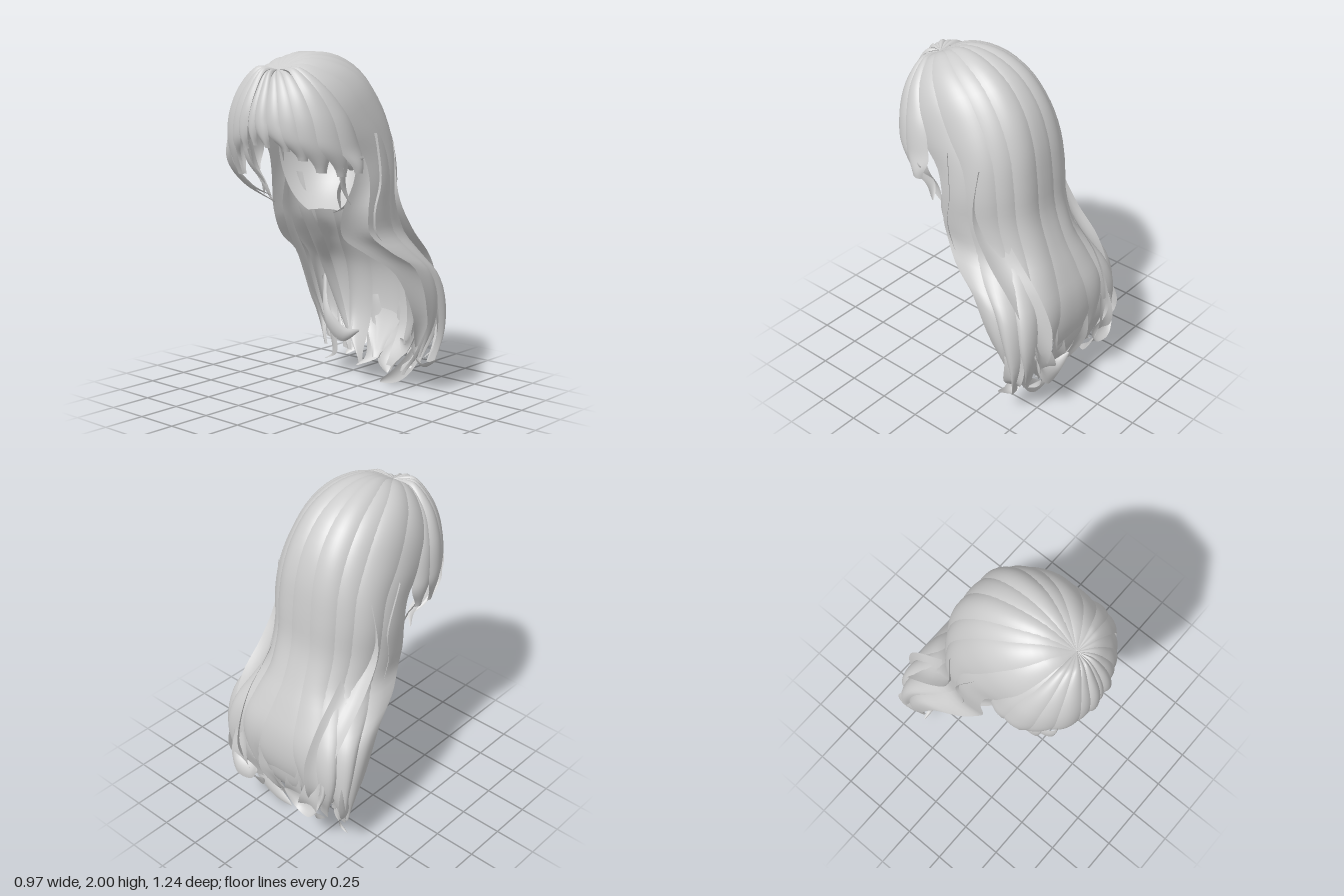
import * as THREE from 'three';

const hair = new THREE.MeshStandardMaterial({ color: 0xcccccc, side: THREE.DoubleSide });
hair.name = 'hairGrey';

let seed = 7;
const rand = (a, b) => {
  seed = (seed * 16807) % 2147483647;
  return a + (b - a) * (seed / 2147483647);
};
const V = (x, y, z) => new THREE.Vector3(x, y, z);
const spow = (n, e) => Math.sign(n) * Math.pow(Math.abs(n), e);
const smooth = THREE.MathUtils.smoothstep;

// Smooth surface from a rule f(u, v) with u in -1..1 and v in 0..1
function sheet(name, nu, nv, f) {
  const pos = [], idx = [];
  for (let j = 0; j <= nv; j++)
    for (let i = 0; i <= nu; i++) pos.push(...f((i / nu) * 2 - 1, j / nv).toArray());
  for (let j = 0; j < nv; j++)
    for (let i = 0; i < nu; i++) {
      const a = j * (nu + 1) + i, b = a + nu + 1;
      idx.push(a, b, a + 1, a + 1, b, b + 1);
    }
  const g = new THREE.BufferGeometry();
  g.setAttribute('position', new THREE.Float32BufferAttribute(pos, 3));
  g.setIndex(idx);
  g.computeVertexNormals();
  const m = new THREE.Mesh(g, hair);
  m.name = name;
  return m;
}

// Rows of [middle y, middle z, half width, side y, side z], from the parting down
const backRows = [
  [1.905, .42, 0, 1.905, .42], [1.985, .25, .13, 1.91, .40], [1.98, .08, .245, 1.83, .36],
  [1.90, -.10, .32, 1.72, .30], [1.76, -.225, .355, 1.58, .22], [1.58, -.295, .37, 1.44, .10],
  [1.38, -.325, .38, 1.28, .06], [1.17, -.345, .37, 1.12, .06], [.98, -.41, .365, 1.0, .03],
  [.83, -.48, .42, .89, -.08], [.68, -.54, .465, .78, -.23], [.52, -.56, .475, .62, -.31],
  [.36, -.545, .45, .42, -.35], [.2, -.48, .39, .22, -.36], [.05, -.42, .34, .06, -.38],
];
const fringeRows = [
  [1.905, .42, 0, 1.905, .42], [1.89, .50, .13, 1.89, .40], [1.79, .565, .25, 1.80, .36],
  [1.67, .605, .33, 1.66, .30], [1.55, .61, .365, 1.52, .26], [1.45, .585, .375, 1.42, .23],
  [1.32, .54, .36, 1.30, .22],
];
const shell = (rows) => ({
  mid: new THREE.CatmullRomCurve3(rows.map((r) => V(0, r[0], r[1]))),
  side: new THREE.CatmullRomCurve3(rows.map((r) => V(r[2], r[3], r[4]))),
});
const backShell = shell(backRows), fringeShell = shell(fringeRows);

// Point on a shell at an angle from its middle, lifted outward by off
function onShell(sh, phi, t, off, square) {
  const m = sh.mid.getPoint(t), s = sh.side.getPoint(t);
  const e = 1 - square * t;
  const c = spow(Math.cos(phi), e), k = spow(Math.sin(phi), e);
  const p = V(s.x * k, s.y + (m.y - s.y) * c, s.z + (m.z - s.z) * c);
  const out = p.clone().sub(V(0, Math.min(p.y, 1.5), s.z));
  return p.addScaledVector(out.normalize(), off);
}

// A lock following a shell, bulged across its width and tapered to a curled tip
function lock(name, sh, o) {
  return sheet(name, 10, 44, (u, v) => {
    const t = o.start + (o.end - o.start) * v;
    const tip = smooth(v, o.taper, 1);
    const w = o.half * (1.2 - (1.2 - o.point) * tip * tip);
    const phi = o.phi + u * w + o.drift * Math.sin(v * 7 + o.phase) * smooth(v, .2, 1) + o.sweep * tip;
    const off = (o.lift + o.bulge * (.7 - u * u)) * Math.min(1, t * 6)
      + o.lobe * smooth(t, .55, .8) * (1 - u * u) + o.curl * tip * tip;
    return onShell(sh, phi, t, off, o.square);
  });
}

// A free ribbon along a few points, widest in its middle
function ribbon(name, pts, width, across, bend = .3) {
  const c = new THREE.CatmullRomCurve3(pts.map((p) => V(...p)));
  const a = V(...across).normalize();
  return sheet(name, 6, 32, (u, v) => {
    const w = width * Math.pow(Math.sin(Math.PI * (.12 + .87 * v)), .7);
    const n = c.getTangent(v).cross(a).normalize();
    return c.getPoint(v).addScaledVector(a, u * w).addScaledVector(n, (1 - u * u) * w * bend);
  });
}

export function createModel() {
  const model = new THREE.Group();
  model.name = 'longHair';
  const group = (name) => {
    const g = new THREE.Group();
    g.name = name;
    model.add(g);
    return g;
  };

  // Inner cap behind the face opening
  const cap = new THREE.Mesh(new THREE.SphereGeometry(1, 32, 24, Math.PI, Math.PI, 0, 2.85), hair);
  cap.geometry.scale(.33, .42, .34);
  cap.geometry.translate(0, 1.5, .08);
  cap.name = 'innerCap';
  model.add(cap);

  // Broad outer locks, from the parting over the crown and down the back:
  // [angle, half angle, end, lobe, drift, curl]
  const back = group('backHair');
  const backLocks = [
    [-1.38, .2, .95, 0, 0, .02], [-1.02, .21, .93, .03, .03, .03], [-.66, .2, .95, .05, .05, -.05],
    [-.33, .18, .87, 0, .05, -.03], [0, .18, .93, -.01, .06, -.05], [.34, .18, .88, 0, .05, -.04],
    [.68, .2, .95, .05, .05, -.03], [1.03, .21, .94, .03, .03, .03], [1.38, .2, .93, 0, 0, -.04],
  ];
  backLocks.forEach(([phi, half, end, lobe, drift, curl], i) => back.add(lock('backLock', backShell, {
    phi, half, start: 0, end, taper: .78, point: .25, drift, phase: phi * 3, lift: (i % 2) * .008,
    bulge: .016, lobe, curl, sweep: 0, square: .35,
  })));

  // Under layer that closes the gaps and hangs inside the curve
  const under = group('underHair');
  for (let k = -3; k <= 3; k++) {
    under.add(lock('underLock', backShell, {
      phi: k * .42, half: .2, start: .42, end: rand(.93, 1), taper: .8, point: .3, drift: .05,
      phase: k * 2, lift: k % 2 ? -.05 : -.03, bulge: .025, lobe: 0, curl: rand(-.08, -.02), sweep: 0, square: .35,
    }));
  }

  // Fringe locks fanning from the parting: [angle, half angle, end, lift, sweep]
  const fringe = group('fringe');
  const fringeLocks = [
    [-1.55, .2, .97, .005, 0], [-1.25, .2, 1, .014, .05], [-.95, .2, 1, .02, -.1], [-.66, .17, .98, .016, .08],
    [-.42, .13, .88, .012, -.06], [-.2, .1, .77, .004, .03], [-.03, .08, .74, -.005, 0], [.14, .1, .75, -.01, .05],
    [.36, .14, .78, -.02, .12], [.62, .18, .85, -.025, .12], [.93, .2, .93, -.01, .1], [1.25, .2, .95, .005, .1],
    [1.55, .2, .92, .02, 0],
  ];
  fringeLocks.forEach(([phi, half, end, lift, sweep], i) => fringe.add(lock('fringeLock', fringeShell, {
    phi, half, start: 0, end, taper: .7, point: .45, drift: .02, phase: i, lift: lift + (i % 2) * .008,
    bulge: .016, lobe: 0, curl: phi > 1.4 ? .03 : -.01, sweep, square: 0,
  })));

  // Locks framing the neck, tucked inward, further forward on the left
  const sides = group('sideLocks');
  for (const s of [-1, 1]) {
    const f = s > 0 ? 0 : -.09;
    sides.add(ribbon('frontSideLock', [[s * .35, 1.56, .08], [s * .35, 1.3, .08 + f], [s * .325, 1.12, .125 + f], [s * .315, .99, .1 + f], [s * .36, .88, -.04 + f / 2], [s * .41, .75, -.21], [s * .42, .5, -.32], [s * .35, .28, -.37]], .1, [-.6 * s, 0, .8], .25 * s));
    sides.add(ribbon('innerSideLock', [[s * .26, 1.3, -.02], [s * .25, 1.1, -.05], [s * .27, .9, -.18], [s * .33, .7, -.34], [s * .3, .45, -.42], [s * .22, .26, -.42]], .08, [1, 0, -.3 * s]));
    // Raised ridge swinging from the side to the back
    sides.add(ribbon('ridgeLock', [[s * .31, 1.5, -.17], [s * .33, 1.2, -.18], [s * .33, 1.0, -.3], [s * .335, .82, -.46], [s * .32, .62, -.56], [s * .31, .45, -.575], [s * .26, .3, -.53]], .085, [.8, 0, .5 * s], .35));
  }

  // Fine strands curving back around the right cheek
  const wisps = group('wisps');
  wisps.add(ribbon('cheekStrand', [[-.24, 1.62, .53], [-.28, 1.42, .52], [-.28, 1.27, .4], [-.24, 1.14, .2]], .016, [1, 0, -.5]));
  wisps.add(ribbon('cheekStrand', [[-.29, 1.6, .46], [-.32, 1.38, .45], [-.3, 1.25, .34], [-.25, 1.18, .22]], .018, [1, 0, -.5]));

  // Wisps by the ears and a flick on the left
  for (const s of [-1, 1]) {
    wisps.add(ribbon('earWisp', [[s * .34, 1.5, .3], [s * .33, 1.34, .26], [s * .28, 1.24, .24], [s * .26, 1.14, .2]], .035, [.4, 0, 1]));
    wisps.add(ribbon('earWisp', [[s * .35, 1.5, .34], [s * .35, 1.38, .3], [s * .31, 1.26, .23], [s * .33, 1.18, .2]], .03, [1, 0, .3]));
  }
  wisps.add(ribbon('sideFlick', [[.3, 1.62, .36], [.36, 1.48, .31], [.385, 1.41, .26], [.42, 1.44, .2]], .05, [.3, 1, .4]));

  // Curled ends
  const ends = group('curledEnds');
  for (const s of [-1, 1]) {
    ends.add(ribbon('curl', [[s * .34, .62, -.53], [s * .35, .42, -.56], [s * .29, .32, -.58], [s * .19, .31, -.58], [s * .11, .38, -.61]], .06, [0, 1, .4]));
    ends.add(ribbon('curl', [[s * .4, .6, -.4], [s * .34, .36, -.36], [s * .24, .25, -.4], [s * .16, .28, -.45]], .055, [.3, 1, 0]));
    ends.add(ribbon('curl', [[s * .3, .55, -.55], [s * .27, .35, -.59], [s * .22, .2, -.53], [s * .25, .12, -.43]], .07, [1, 0, 0]));
    ends.add(ribbon('curl', [[s * .12, .5, -.54], [s * .1, .3, -.53], [s * .05, .14, -.45], [s * .12, .08, -.38]], .07, [1, .2, 0]));
    ends.add(ribbon('curl', [[s * .42, .6, -.42], [s * .44, .42, -.48], [s * .43, .28, -.46], [s * .36, .2, -.42]], .06, [.3, 0, 1]));
  }
  ends.add(ribbon('leftFlick', [[.32, .5, -.42], [.3, .28, -.4], [.37, .17, -.4], [.48, .22, -.4]], .04, [.3, .6, 1]));
  ends.add(ribbon('rightFlick', [[-.4, .5, -.4], [-.34, .28, -.4], [-.32, .12, -.4], [-.4, .07, -.4]], .045, [1, .3, .5]));
  ends.add(ribbon('lowestTip', [[.34, .36, -.46], [.27, .18, -.43], [.16, .06, -.41], [.05, .005, -.4]], .045, [-.5, 1, .3]));

  return model;
}
